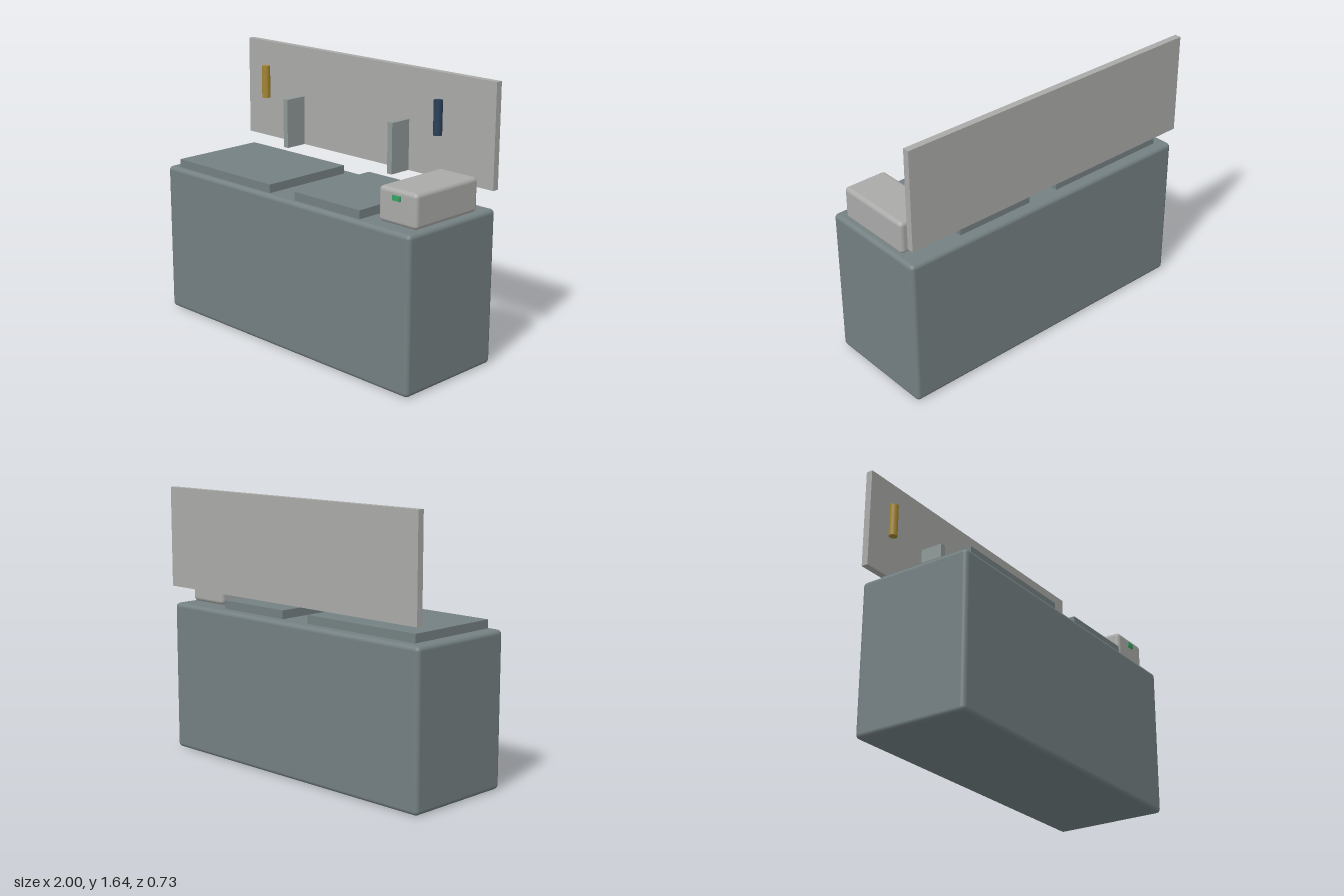
import * as THREE from 'three';
import { RoundedBoxGeometry } from 'three/addons/geometries/RoundedBoxGeometry.js';

const paint = (color) => new THREE.MeshStandardMaterial({ color });

export function createModel() {
  const group = new THREE.Group();
  const bodyGrey = paint(0x748082);
  const lightGrey = paint(0xaaaba9);
  const bracketGrey = paint(0x8f9897);

  const add = (name, geometry, material, x, y, z) => {
    const mesh = new THREE.Mesh(geometry, material);
    mesh.name = name;
    mesh.position.set(x, y, z);
    group.add(mesh);
  };

  // Box given by its extents on each axis; a radius rounds its edges
  const block = (name, material, [x0, x1], [y0, y1], [z0, z1], radius = 0) => {
    const size = [x1 - x0, y1 - y0, z1 - z0];
    const geometry = radius
      ? new RoundedBoxGeometry(...size, 4, radius)
      : new THREE.BoxGeometry(...size);
    add(name, geometry, material, (x0 + x1) / 2, (y0 + y1) / 2, (z0 + z1) / 2);
  };

  // Counter body with softened edges
  block('counterBody', bodyGrey, [-1, 1], [0, 0.92], [-0.35, 0.363], 0.026);

  // Raised lids on the worktop
  block('wideLid', bodyGrey, [-0.918, -0.106], [0.915, 0.971], [-0.28, 0.33]);
  block('narrowLid', bodyGrey, [0.1, 0.609], [0.915, 0.971], [-0.28, 0.33]);

  // Back panel standing clear of the worktop
  block('backPanel', lightGrey, [-1, 1], [1.027, 1.636], [-0.363, -0.322]);

  // Upright brackets on the panel
  for (const x of [-0.512, 0.357])
    block('bracket', bracketGrey, [x - 0.018, x + 0.018], [1.027, 1.33], [-0.325, -0.178]);

  // Coloured cylinders hung on the panel
  for (const [name, x, color] of [['yellowCylinder', -0.82, 0xa38632], ['blueCylinder', 0.609, 0x2b4058]])
    add(name, new THREE.CylinderGeometry(0.026, 0.026, 0.203, 24), paint(color), x, 1.381, -0.3);

  // Control unit and its small green display
  block('controlUnit', lightGrey, [0.698, 0.972], [0.922, 1.122], [-0.226, 0.28], 0.025);
  block('display', paint(0x3aa265), [0.806, 0.861], [1.061, 1.09], [0.27, 0.29]);

  return group;
}
